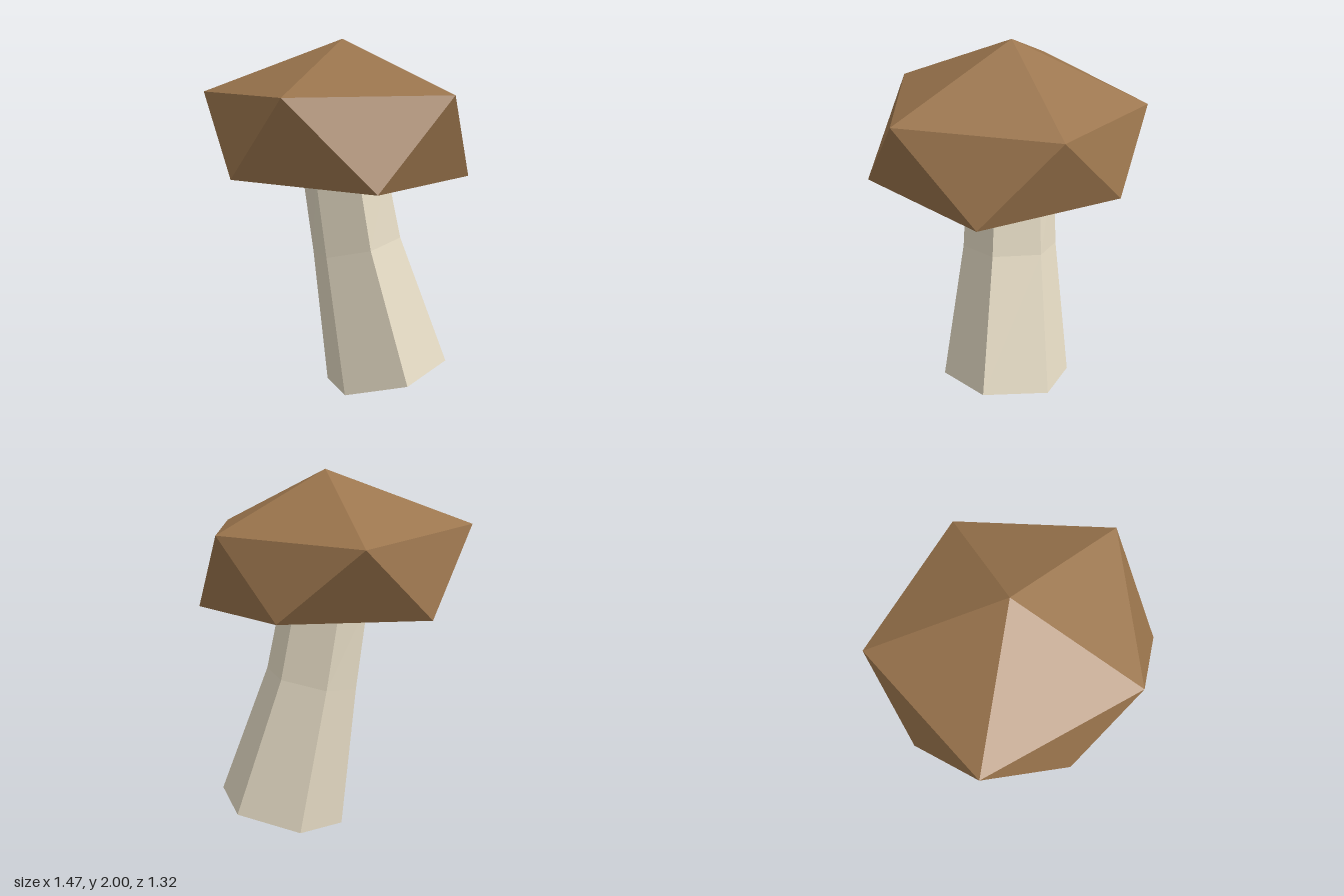
import * as THREE from 'three';

const V = (x, y, z) => new THREE.Vector3(x, y, z);
const toVectors = (list) => list.map((p) => V(...p));

// Unshared corners give every facet its own flat normal
function facetGeometry(corners) {
  const geometry = new THREE.BufferGeometry().setFromPoints(corners);
  geometry.computeVertexNormals();
  return geometry;
}

// Crooked cap: apex, upper and lower rings of five, flat underside
function capGeometry() {
  const apex = V(-0.03, 2, -0.03);
  const upper = toVectors([
    [0.19, 1.69, 0.66], [0.73, 1.7, -0.03], [0.17, 1.67, -0.66], [-0.63, 1.63, -0.46], [-0.68, 1.71, 0.43],
  ]);
  const lower = toVectors([
    [0.61, 1.23, 0.43], [0.54, 1.245, -0.45], [-0.24, 1.26, -0.66], [-0.735, 1.25, -0.03], [-0.24, 1.255, 0.62],
  ]);
  const corners = [];
  for (let i = 0; i < 5; i++) {
    const j = (i + 1) % 5;
    corners.push(upper[i], upper[j], apex);
    corners.push(upper[i], lower[i], upper[j]);
    corners.push(lower[i], lower[j], upper[j]);
    if (i > 0 && i < 4) corners.push(lower[0], lower[j], lower[i]);
  }
  return facetGeometry(corners);
}

// Bent six-sided stem, an open tube through three tilted rings
function stemGeometry() {
  const rings = [
    [[0.15, 0.025, 0.15], [0.46, 0.105, -0.02], [0.46, 0.165, -0.38],
      [0.15, 0.14, -0.57], [-0.16, 0.06, -0.4], [-0.16, 0, -0.04]],
    [[0.03, 0.8, 0.17], [0.25, 0.85, 0.05], [0.25, 0.89, -0.21],
      [0.02, 0.88, -0.345], [-0.2, 0.83, -0.225], [-0.2, 0.79, 0.035]],
    [[-0.02, 1.27, 0.205], [0.19, 1.27, 0.085], [0.19, 1.27, -0.16],
      [-0.02, 1.27, -0.28], [-0.235, 1.27, -0.16], [-0.235, 1.27, 0.09]],
  ].map(toVectors);
  const corners = [];
  for (let r = 0; r < 2; r++) {
    const [a, b] = [rings[r], rings[r + 1]];
    for (let i = 0; i < 6; i++) {
      const j = (i + 1) % 6;
      corners.push(a[i], a[j], b[j], a[i], b[j], b[i]);
    }
  }
  return facetGeometry(corners);
}

export function createModel() {
  const capBrown = new THREE.MeshStandardMaterial({ color: 0x9b754d, flatShading: true });
  capBrown.name = 'cap brown';
  const stemCream = new THREE.MeshStandardMaterial({ color: 0xe6dcc5, flatShading: true, side: THREE.DoubleSide });
  stemCream.name = 'stem cream';

  const model = new THREE.Group();
  model.name = 'mushroom';

  const cap = new THREE.Mesh(capGeometry(), capBrown);
  cap.name = 'cap';
  const stem = new THREE.Mesh(stemGeometry(), stemCream);
  stem.name = 'stem';
  model.add(cap, stem);
  return model;
}
